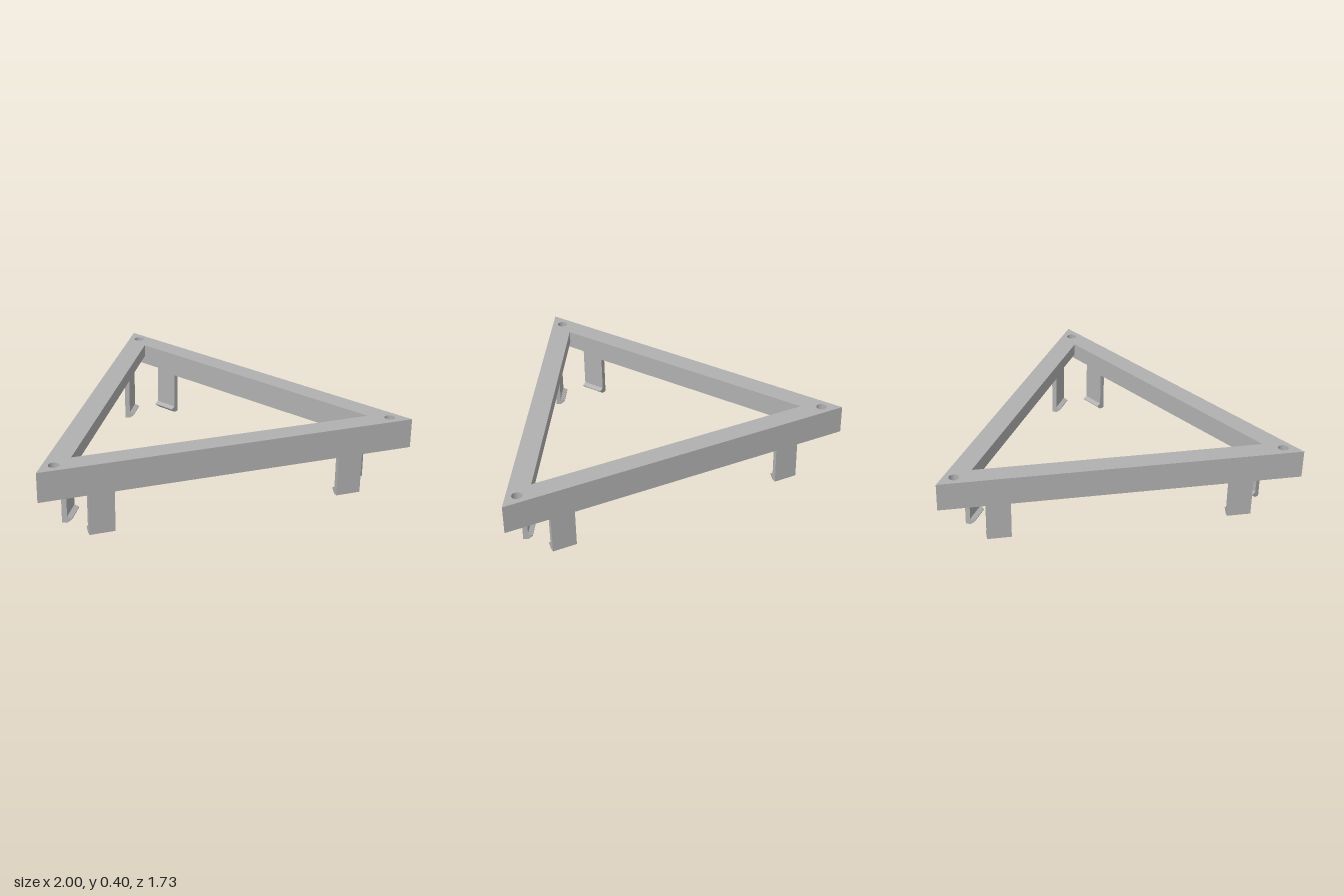
import * as THREE from 'three';

const R3 = Math.sqrt(3);
const CENTRE_Z = R3 / 2 - 1 / R3; // centroid of the triangle
const INRADIUS = 1 / R3;

// Equilateral triangle whose sides are inset from the outer edge
function triangle(inset, Kind = THREE.Shape) {
  const k = 1 - inset / INRADIUS;
  const path = new Kind();
  path.moveTo(-k, CENTRE_Z + INRADIUS * k);
  path.lineTo(0, CENTRE_Z - 2 * INRADIUS * k);
  path.lineTo(k, CENTRE_Z + INRADIUS * k);
  path.closePath();
  return path;
}

// Plan shape extruded downwards from the given top height
function slab(shape, top, height) {
  const geo = new THREE.ExtrudeGeometry(shape, { depth: height, bevelEnabled: false, curveSegments: 24 });
  return geo.rotateX(Math.PI / 2).translate(0, top, 0);
}

export function createModel() {
  const model = new THREE.Group();
  const grey = new THREE.MeshStandardMaterial({ color: 0xb0b0b0 });
  grey.name = 'grey plastic';
  const add = (parent, name, geo) => {
    const mesh = new THREE.Mesh(geo, grey);
    mesh.name = name;
    parent.add(mesh);
    return mesh;
  };

  const TOP = 0.4, BOTTOM = 0.24, LIP = 0.07;
  const WALL = 0.036, STRIP = 0.028, LIP_WIDTH = 0.1155;

  // Top lip with a round hole at each corner
  const lip = triangle(0);
  lip.holes.push(triangle(LIP_WIDTH, THREE.Path));
  for (const [x, z] of [[0, -0.751], [-0.9, 0.808], [0.9, 0.808]]) {
    lip.holes.push(new THREE.Path().absarc(x, z, 0.028, 0, Math.PI * 2, true));
  }
  add(model, 'topLip', slab(lip, TOP, LIP));

  // Thin outer wall below the lip
  const wall = triangle(0);
  wall.holes.push(triangle(WALL, THREE.Path));
  add(model, 'outerWall', slab(wall, TOP - LIP, TOP - LIP - BOTTOM));

  // Clip cross-section: x is the distance inwards, y is up
  const profile = new THREE.Shape([
    [0, 0], [0.028, 0], [0.052, 0.02], [0.052, 0.025], [0.028, 0.036], [0.028, BOTTOM], [0, BOTTOM],
  ].map(([x, y]) => new THREE.Vector2(x, y)));
  const CLIP_WIDTH = 0.135, CLIP_X = 0.605;
  const clipGeo = new THREE.ExtrudeGeometry(profile, { depth: CLIP_WIDTH, bevelEnabled: false });
  clipGeo.rotateY(Math.PI / 2); // inwards is now -z, width runs along +x

  // Each side carries an inner strip and two hooked clips
  for (let i = 0; i < 3; i++) {
    const side = new THREE.Group();
    side.name = 'side' + (i + 1);
    side.position.z = CENTRE_Z;
    side.rotation.y = i * Math.PI * 2 / 3;
    model.add(side);

    const h = TOP - LIP - BOTTOM;
    const strip = add(side, 'innerStrip', new THREE.BoxGeometry(2 * (CLIP_X + CLIP_WIDTH), h, STRIP));
    strip.position.set(0, BOTTOM + h / 2, INRADIUS - WALL - STRIP / 2);

    for (const x of [CLIP_X, -CLIP_X - CLIP_WIDTH]) {
      const clip = add(side, 'clip', clipGeo);
      clip.position.set(x, 0, INRADIUS - WALL);
    }
  }
  return model;
}
